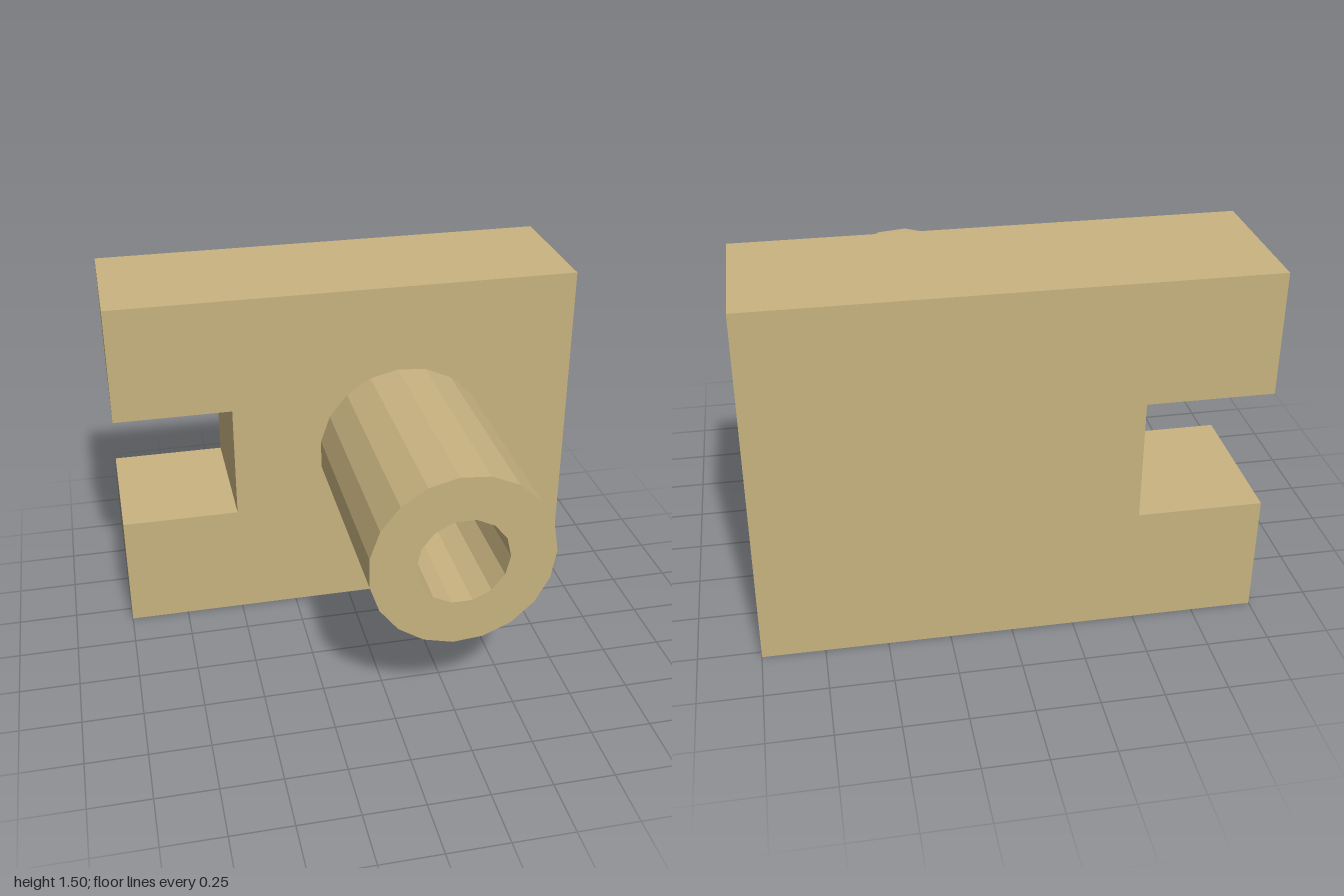
import * as THREE from 'three';

const FRONT = 0.78, PLATE_FRONT = -0.17, BACK = -0.78;

// Points of a regular polygon whose first corner lies on the +x side
function ring(cx, cy, radius, sides) {
  return Array.from({ length: sides }, (_, i) => {
    const a = (i / sides) * Math.PI * 2;
    return new THREE.Vector2(cx + radius * Math.cos(a), cy + radius * Math.sin(a));
  });
}

// Straight extrusion of a shape between two depths
function slab(name, shape, z0, z1, material) {
  const geometry = new THREE.ExtrudeGeometry(shape, { depth: z1 - z0, bevelEnabled: false });
  geometry.translate(0, 0, z0);
  const mesh = new THREE.Mesh(geometry, material);
  mesh.name = name;
  return mesh;
}

export function createModel() {
  const tan = new THREE.MeshStandardMaterial({ color: 0xc8b380 });
  tan.name = 'tan';

  const group = new THREE.Group();
  group.name = 'notchedPlateWithTube';

  // Thick plate with a square notch in its right edge
  const plate = new THREE.Shape([
    [-1, 0], [1, 0], [1, 1.5], [-1, 1.5],
    [-1, 1], [-0.5, 1], [-0.5, 0.5], [-1, 0.5],
  ].map(([x, y]) => new THREE.Vector2(x, y)));
  group.add(slab('plate', plate, BACK, PLATE_FRONT, tan));

  // Faceted tube standing on the front of the plate
  const tube = new THREE.Shape(ring(0.25, 0.75, 0.375, 19));
  tube.holes.push(new THREE.Path(ring(0.25, 0.75, 0.1875, 14).reverse()));
  group.add(slab('tube', tube, PLATE_FRONT, FRONT, tan));

  return group;
}
